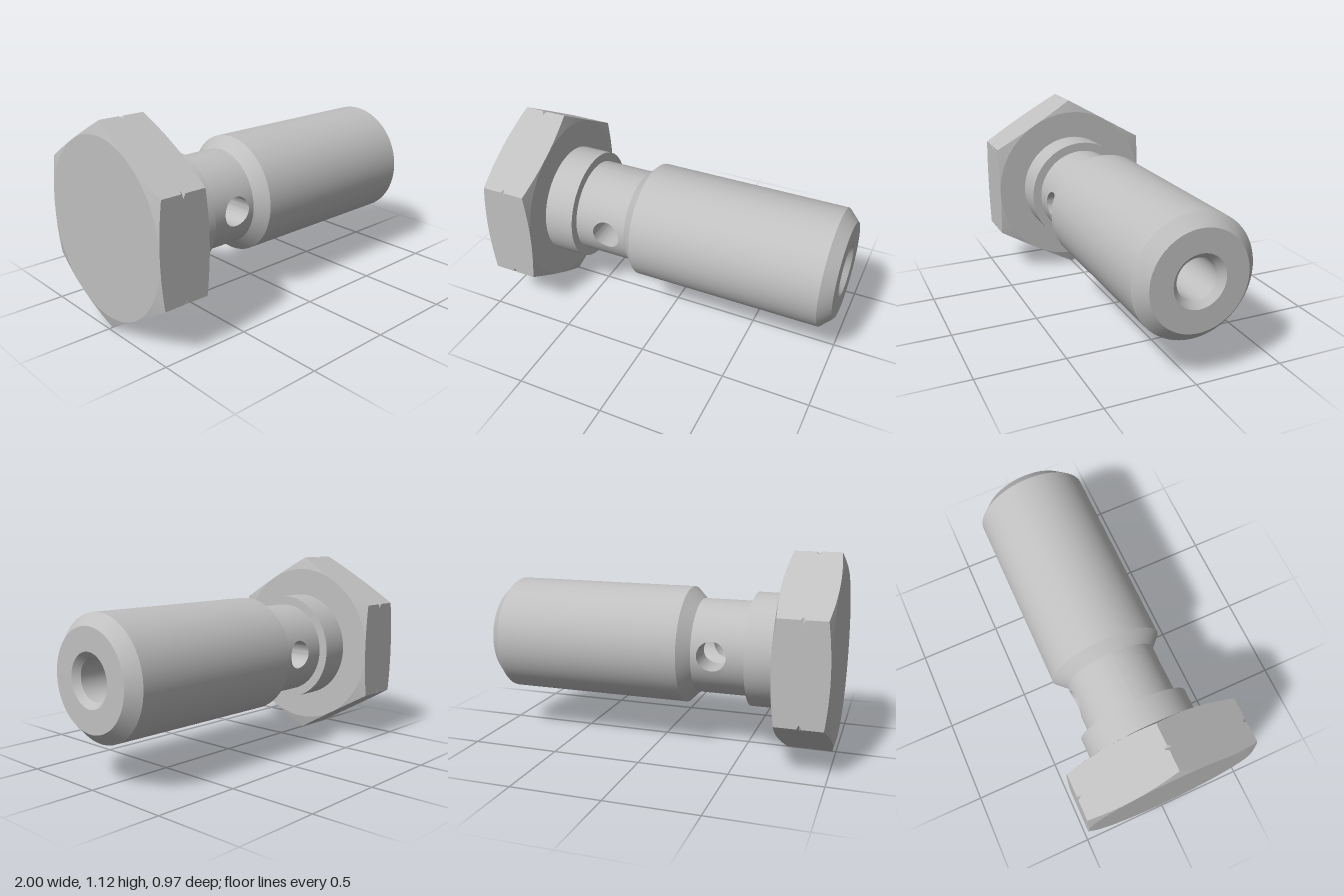
import * as THREE from 'three';
import { mergeGeometries, toCreasedNormals } from 'three/addons/utils/BufferGeometryUtils.js';

const SEG = 64;
const HOLE = { x: -0.337, r: 0.083 }; // cross hole along z
const NECK_R = 0.27, BORE_R = 0.112;
const V = (x, y, z) => new THREE.Vector3(x, y, z);

// Closed loft: columns of points going round, each column the same length
function loft(columns, crease) {
  const pos = [], idx = [], m = columns[0].length, n = columns.length;
  columns.forEach(c => c.forEach(p => pos.push(p.x, p.y, p.z)));
  for (let i = 0; i < n; i++) {
    for (let j = 0; j < m - 1; j++) {
      const a = i * m + j, b = ((i + 1) % n) * m + j;
      idx.push(a, b, a + 1, b, b + 1, a + 1);
    }
  }
  const g = new THREE.BufferGeometry();
  g.setAttribute('position', new THREE.Float32BufferAttribute(pos, 3));
  g.setIndex(idx);
  return toCreasedNormals(g, crease);
}

// Turned part about the x axis from [x, radius] pairs
function turned(profile) {
  const g = new THREE.LatheGeometry(profile.map(([x, r]) => new THREE.Vector2(r, x)), SEG);
  g.rotateZ(-Math.PI / 2);
  return toCreasedNormals(g, 0.5);
}

// Geometry plus its copy turned half way round the bolt axis
const bothSides = g => mergeGeometries([g, g.clone().rotateX(Math.PI)]);

// Hexagon cut by end chamfers and a fine V groove that only nicks the corners
function headGeometry() {
  const x0 = -1, x1 = -0.705, mid = -0.855, flat = 0.485, corner = 0.56, groove = 0.548;
  const columns = [];
  const steps = [0, 0.8, 1.6, 2.26, 5, 9, 14, 19, 24, 30, 36, 41, 46, 51, 55, 57.74, 58.4, 59.2];
  for (let k = 0; k < 6; k++) {
    for (const s of steps) {
      const phi = THREE.MathUtils.degToRad(k * 60 + s);
      const h = flat / Math.cos(THREE.MathUtils.degToRad(s - 30));
      const c = 0.02 * (h - flat) / (corner - flat);
      const w = Math.max(0, 0.013 * (h - groove) / (corner - groove));
      const section = [[x0, 0], [x0, flat], [x0 + c, h], [mid - w, h], [mid, Math.min(h, groove)],
        [mid + w, h], [x1 - c, h], [x1, flat], [x1, 0.3]];
      columns.push(section.map(([x, r]) => V(x, r * Math.cos(phi), r * Math.sin(phi))));
    }
  }
  return loft(columns, 0.2);
}

// Half cylinder facing +z, between xa and xb, pierced by the cross hole
function piercedHalf(R, xa, xb, inward) {
  const n = SEG / 2, nx = 12, rows = 14, q = Math.PI / 2, edge = [];
  for (let i = 0; i < n; i++) edge.push([xb, -q + Math.PI * i / n]);
  for (let i = 0; i < nx; i++) edge.push([xb + (xa - xb) * i / nx, q]);
  for (let i = 0; i < n; i++) edge.push([xa, q - Math.PI * i / n]);
  for (let i = 0; i < nx; i++) edge.push([xa + (xb - xa) * i / nx, -q]);
  const columns = edge.map(([ex, ea]) => {
    const t = Math.atan2(R * ea, ex - HOLE.x);
    const rx = HOLE.x + HOLE.r * Math.cos(t), ra = Math.asin(HOLE.r * Math.sin(t) / R);
    const col = [];
    for (let j = 0; j <= rows; j++) {
      const s = j / rows, a = ra + (ea - ra) * s;
      col.push(V(rx + (ex - rx) * s, R * Math.sin(a), R * Math.cos(a)));
    }
    return inward ? col : col.reverse();
  });
  return loft(columns, 0.5);
}

// Wall of the cross hole, from the neck surface in to the bore
function holeWall() {
  const columns = [];
  for (let i = 0; i < SEG; i++) {
    const t = i / SEG * Math.PI * 2, y = HOLE.r * Math.sin(t);
    columns.push([NECK_R, BORE_R].map(R => V(HOLE.x + HOLE.r * Math.cos(t), y, Math.sqrt(R * R - y * y))));
  }
  return loft(columns, 0.5);
}

export function createModel() {
  const steel = new THREE.MeshStandardMaterial({ color: 0xc0c0c0 });
  steel.name = 'steel';
  const bolt = new THREE.Group();
  bolt.name = 'hollowBolt';
  const add = (name, geometry) => {
    const mesh = new THREE.Mesh(geometry, steel);
    mesh.name = name;
    mesh.position.y = 0.561;
    bolt.add(mesh);
  };

  add('hexHead', headGeometry());
  add('collar', turned([[-0.705, 0.3225], [-0.53, 0.3225], [-0.53, NECK_R]]));
  add('neck', bothSides(piercedHalf(NECK_R, -0.53, -0.22, false)));
  // Shank with chamfered ends, running over the tip and back down the bore
  add('shank', turned([[-0.22, NECK_R], [-0.155, 0.335], [0.935, 0.335], [1, 0.272],
    [1, 0.145], [0.967, BORE_R], [-0.23, BORE_R]]));
  add('crossHole', bothSides(holeWall()));
  add('boreWall', bothSides(piercedHalf(BORE_R, -0.43, -0.23, true)));
  add('boreEnd', turned([[-0.43, BORE_R], [-0.49, 0]]));
  return bolt;
}
